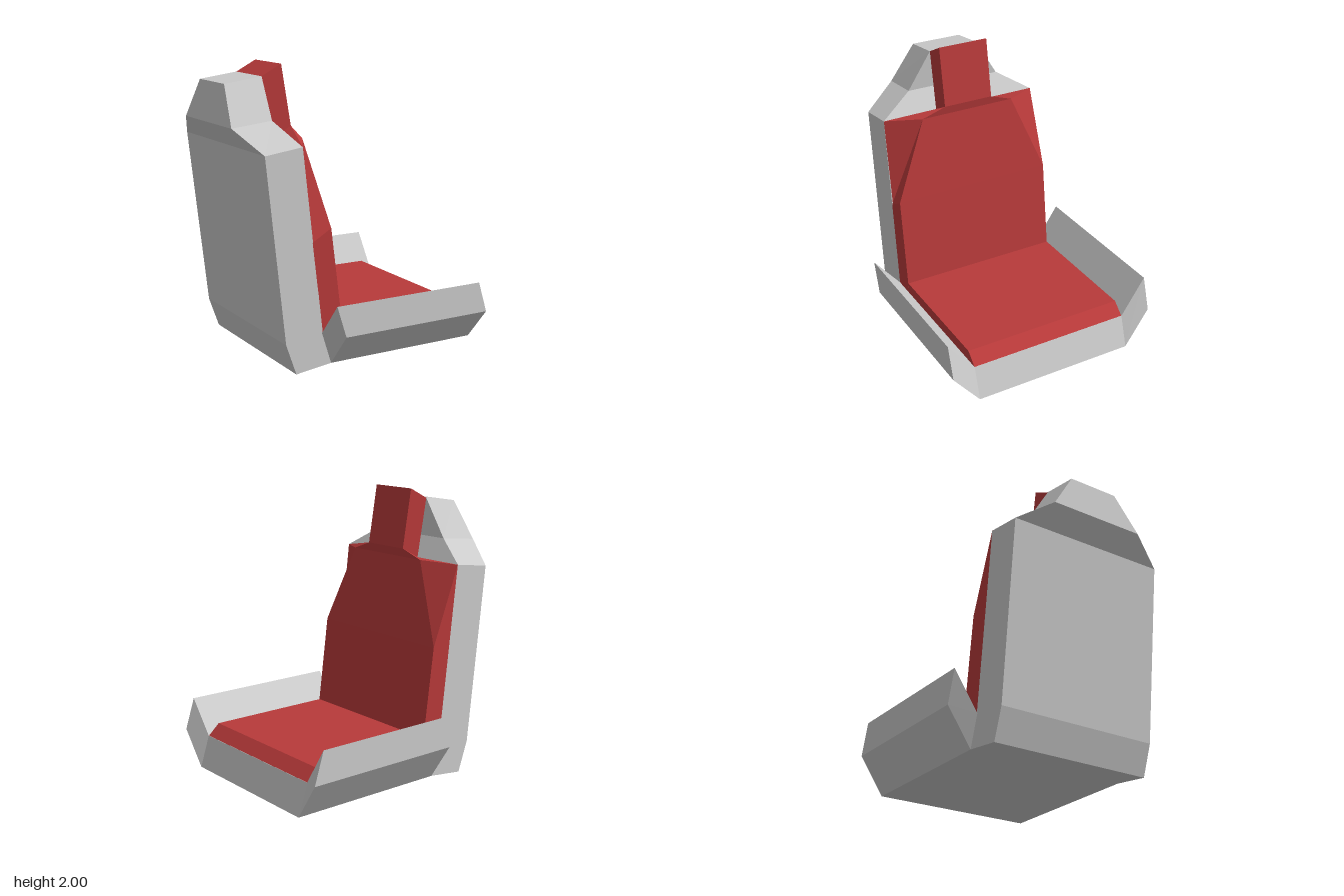
import * as THREE from 'three';

const grey = new THREE.MeshStandardMaterial({ color: 0xcccccc, flatShading: true });
const red = new THREE.MeshStandardMaterial({ color: 0xb83a3a, flatShading: true });
const ZC = -0.012; // small sideways offset of the seat body

// Joins closed loops of points into a faceted solid; caps are quads of loop indices
function loft(loops, caps = [[0, 1, 2, 3]]) {
  const pos = [];
  const quad = (a, b, c, d) => pos.push(...a, ...b, ...c, ...a, ...c, ...d);
  for (let k = 0; k < loops.length - 1; k++) {
    const lo = loops[k], hi = loops[k + 1], n = lo.length;
    for (let i = 0; i < n; i++) {
      const j = (i + 1) % n;
      quad(lo[i], lo[j], hi[j], hi[i]);
    }
  }
  const first = loops[0], last = loops[loops.length - 1];
  for (const [a, b, c, d] of caps) {
    quad(first[d], first[c], first[b], first[a]);
    quad(last[a], last[b], last[c], last[d]);
  }
  const g = new THREE.BufferGeometry();
  g.setAttribute('position', new THREE.Float32BufferAttribute(pos, 3));
  g.computeVertexNormals();
  return g;
}

// Level with a rear point, a front point and their half widths
const level = ([xb, yb, wb, xf, yf, wf]) => [
  [xb, yb, ZC + wb], [xf, yf, ZC + wf], [xf, yf, ZC - wf], [xb, yb, ZC - wb],
];

export function createModel() {
  const group = new THREE.Group();
  const add = (name, geometry, material) => {
    const mesh = new THREE.Mesh(geometry, material);
    mesh.name = name;
    group.add(mesh);
  };

  // Backrest shell, narrowing to the headrest
  add('backrestShell', loft([
    [-0.545, 0.005, 0.593, -0.28, 0.035, 0.593],
    [-0.62, 0.22, 0.593, -0.345, 0.265, 0.593],
    [-0.76, 1.475, 0.593, -0.49, 1.51, 0.593],
    [-0.87, 1.625, 0.353, -0.58, 1.655, 0.353],
    [-0.835, 1.89, 0.185, -0.565, 1.925, 0.185],
  ].map(level)), grey);

  // Backrest cushion with chamfered shoulders and a headrest
  add('backrestCushion', loft([
    [-0.345, 0.265, 0.593, -0.195, 0.3, 0.593],
    [-0.42, 0.88, 0.593, -0.28, 0.96, 0.593],
    [-0.49, 1.51, 0.593, -0.36, 1.525, 0.355],
    [-0.49, 1.51, 0.185, -0.35, 1.585, 0.185],
    [-0.565, 1.925, 0.185, -0.42, 2.0, 0.185],
  ].map(level)), red);

  // Seat tray with raised side wings: [z, y, x shift]
  const section = [
    [0.58, 0.035, 0], [0.775, 0.27, 0], [0.775, 0.49, -0.07], [0.58, 0.255, -0.07],
    [-0.605, 0.255, -0.07], [-0.78, 0.52, -0.07], [-0.78, 0.295, 0], [-0.605, 0.035, 0],
  ];
  const trayLoop = (x, drop) => section.map(([z, y, dx]) => [x + dx, y - drop, z]);
  add('seatTray', loft([trayLoop(0.87, 0.01), trayLoop(-0.28, 0)],
    [[0, 1, 2, 3], [0, 3, 4, 7], [4, 5, 6, 7]]), grey);

  // Seat cushion with a sloped front edge
  const profile = new THREE.Shape([
    [-0.345, 0.25], [0.8, 0.243], [0.715, 0.322], [-0.345, 0.332],
  ].map(([x, y]) => new THREE.Vector2(x, y)));
  const cushion = new THREE.ExtrudeGeometry(profile, { depth: 1.185, bevelEnabled: false });
  cushion.translate(0, 0, -0.605);
  add('seatCushion', cushion, red);

  return group;
}
